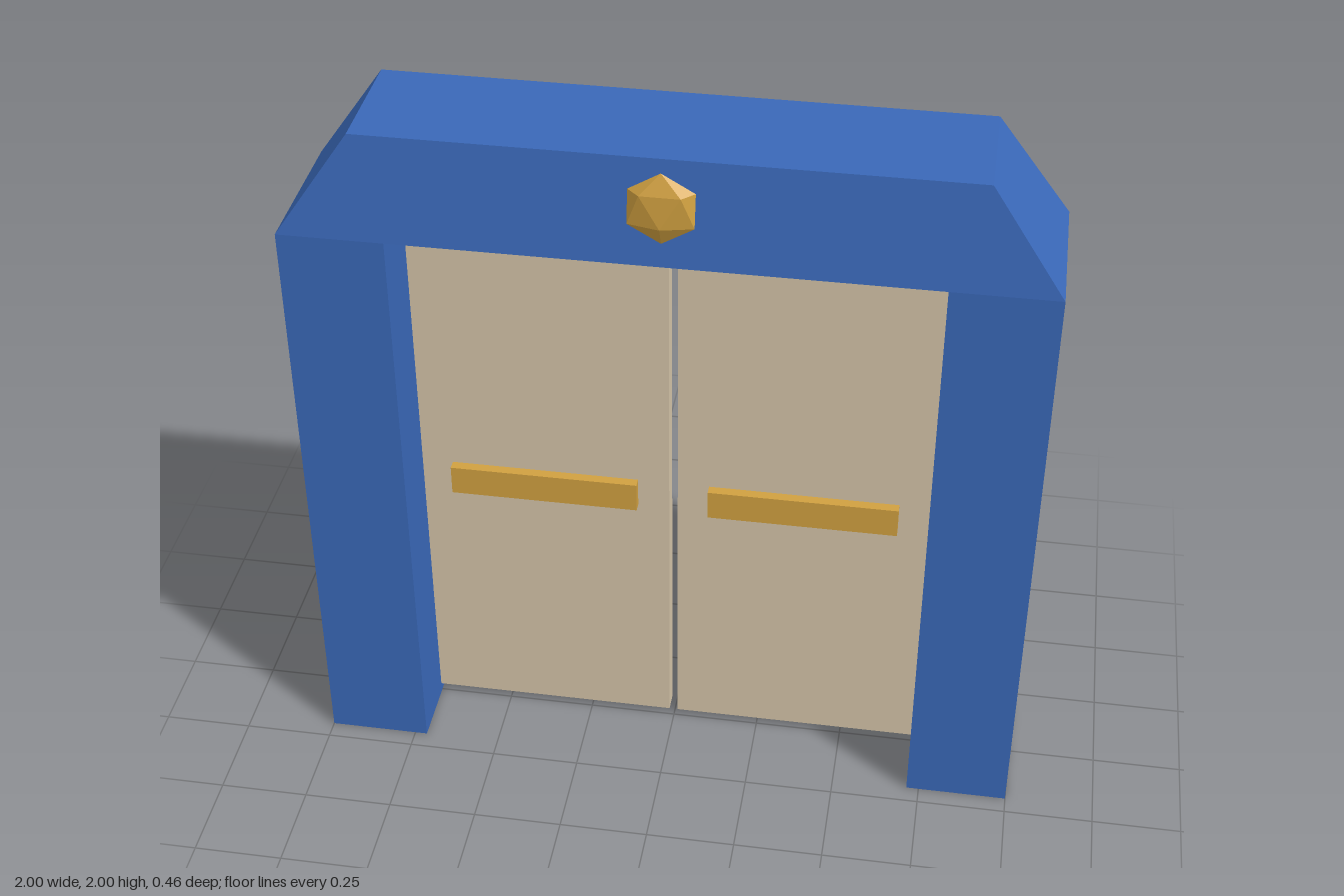
import * as THREE from 'three';

const mat = (color) => new THREE.MeshStandardMaterial({ color, flatShading: true });

function box(name, material, [x0, x1], [y0, y1], [z0, z1]) {
  const mesh = new THREE.Mesh(new THREE.BoxGeometry(x1 - x0, y1 - y0, z1 - z0), material);
  mesh.position.set((x0 + x1) / 2, (y0 + y1) / 2, (z0 + z1) / 2);
  mesh.name = name;
  return mesh;
}

export function createModel() {
  const group = new THREE.Group();
  group.name = 'doorway';
  const blue = mat(0x3a68b8), cream = mat(0xd4c4a8), gold = mat(0xd0a040);
  const zFrame = [-0.232, 0.198], springY = 1.715;

  // Pillars, door leaves and push bars, mirrored left and right
  for (const [side, s] of [['left', 1], ['right', -1]]) {
    const span = (a, b) => (s > 0 ? [a, b] : [-b, -a]);
    group.add(
      box(side + 'Pillar', blue, span(0.715, 1), [0, springY], zFrame),
      box(side + 'Door', cream, span(0.012, 0.715), [0.03, 1.66], [-0.045, 0.008]),
      box(side + 'PushBar', gold, span(0.1, 0.628), [0.8, 0.887], [0.008, 0.036]),
    );
  }

  // Lintel: a box whose top is drawn in on all four sides
  const lintel = box('lintel', blue, [-1, 1], [springY, 2], zFrame);
  const p = lintel.geometry.attributes.position;
  for (let i = 0; i < p.count; i++) {
    if (p.getY(i) > 0) {
      p.setX(i, p.getX(i) * 0.8);
      p.setZ(i, p.getZ(i) * 0.8);
    }
  }
  lintel.geometry.computeVertexNormals();
  group.add(lintel);

  // Flattened faceted emblem, standing on one of its points
  const gem = new THREE.IcosahedronGeometry(0.1, 0);
  gem.rotateX(Math.atan((1 + Math.sqrt(5)) / 2));
  gem.scale(1, 1, 0.32);
  gem.computeVertexNormals();
  const emblem = new THREE.Mesh(gem, gold);
  emblem.name = 'emblem';
  emblem.position.set(0, 1.888, 0.204);
  group.add(emblem);

  return group;
}
